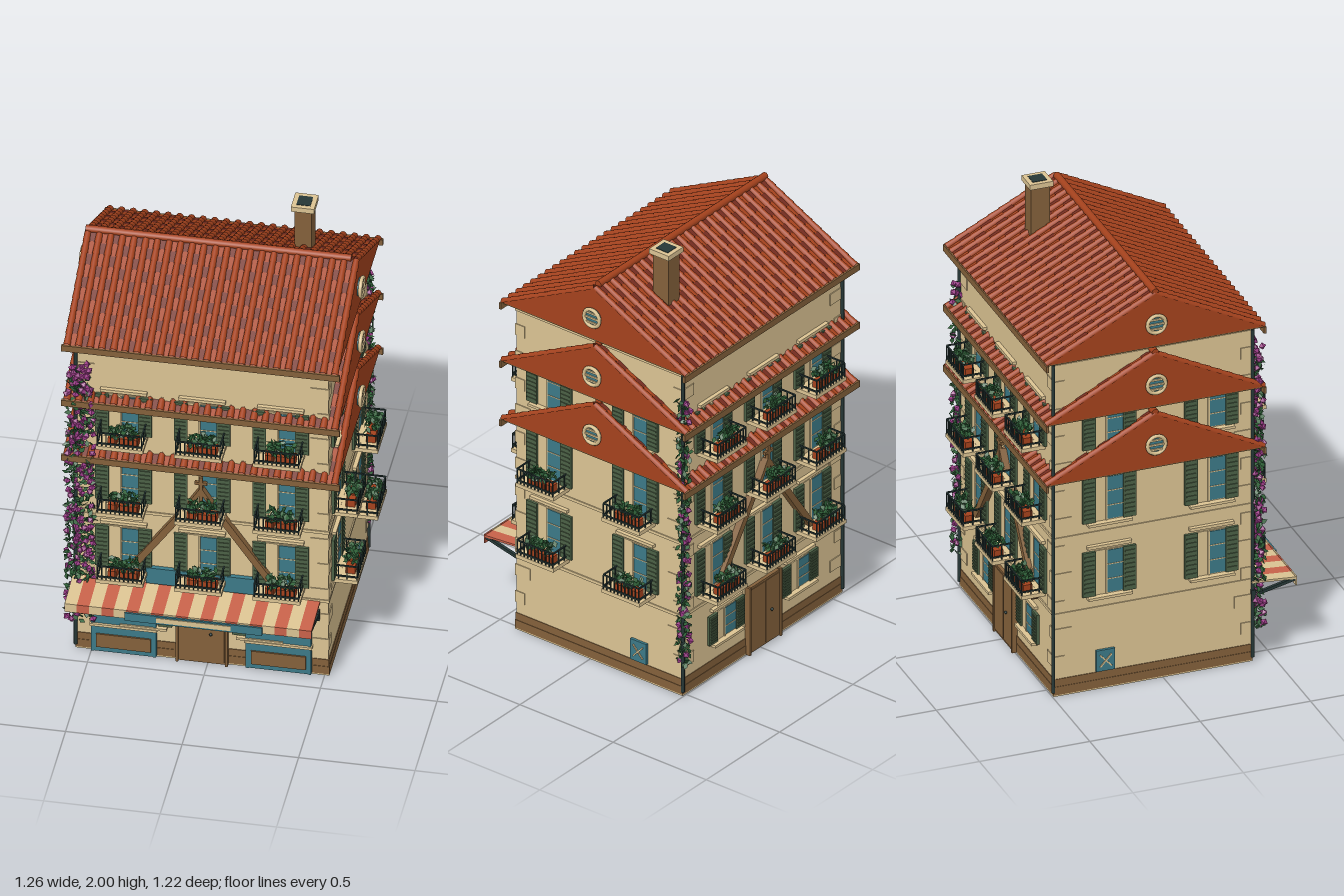
import * as THREE from 'three';
import { mergeGeometries } from 'three/addons/utils/BufferGeometryUtils.js';

const paint = (name, color, side = THREE.FrontSide) => {
  const m = new THREE.MeshStandardMaterial({ color, side });
  m.name = name;
  return m;
};
const M = {
  cream: paint('cream plaster', 0xdcc493),
  brown: paint('brown timber', 0x84613b),
  tile: paint('terracotta', 0xa5421d, THREE.DoubleSide),
  dark: paint('dark tile', 0x742c1f, THREE.DoubleSide),
  teal: paint('teal', 0x3c7a88),
  green: paint('shutter green', 0x4c6146),
  iron: paint('dark iron', 0x263736),
  leaf: paint('foliage', 0x31633a, THREE.DoubleSide),
  flower: paint('magenta blossom', 0x9c3c88),
  red: paint('awning red', 0xc8624a),
};

let seed = 7;
const rnd = () => (seed = (seed * 16807) % 2147483647) / 2147483647;
const span = (a, b) => a + (b - a) * rnd();

function add(parent, name, mat, geo, x = 0, y = 0, z = 0) {
  const m = new THREE.Mesh(geo, mat);
  m.name = name;
  m.position.set(x, y, z);
  parent.add(m);
  return m;
}
const box = (p, name, mat, w, h, d, x, y, z) => add(p, name, mat, new THREE.BoxGeometry(w, h, d), x, y, z);
function group(parent, name, x = 0, y = 0, z = 0) {
  const g = new THREE.Group();
  g.name = name;
  g.position.set(x, y, z);
  parent.add(g);
  return g;
}
// Bar in the facade plane between two points
function beam(p, name, mat, x1, y1, x2, y2, t, d, z) {
  const b = box(p, name, mat, Math.hypot(x2 - x1, y2 - y1), t, d, (x1 + x2) / 2, (y1 + y2) / 2, z);
  b.rotation.z = Math.atan2(y2 - y1, x2 - x1);
}
// Scatter of small leaves or blossoms inside a box-shaped range
function scatter(p, name, mat, n, base, [x1, x2], [y1, y2], [z1, z2]) {
  const parts = [];
  for (let i = 0; i < n; i++) {
    parts.push(base.clone().rotateX(span(-1.2, 1.2)).rotateY(span(0, 6.28)).rotateZ(span(0, 6.28))
      .translate(span(x1, x2), span(y1, y2), span(z1, z2)));
  }
  add(p, name, mat, mergeGeometries(parts));
}
const leafGeo = new THREE.CircleGeometry(0.018, 4).scale(0.6, 1, 1);
const bloomGeo = new THREE.OctahedronGeometry(0.017, 0);

// Window with half-drawn curtain, louvred shutters, sill and lintel
function windowUnit(face, x, y, h) {
  const g = group(face, 'window', x, y, 0);
  box(g, 'curtain', M.cream, 0.13, h, 0.008, 0, h / 2, 0.002);
  box(g, 'glass', M.teal, 0.075, h - 0.01, 0.008, 0.028, h / 2, 0.005);
  box(g, 'mullion', M.cream, 0.008, h, 0.012, -0.012, h / 2, 0.005);
  for (const k of [0.33, 0.66]) box(g, 'glazingBar', M.cream, 0.08, 0.004, 0.004, 0.028, h * k, 0.009);
  for (const s of [-1, 1]) {
    box(g, 'shutter', M.green, 0.058, h, 0.012, s * 0.092, h / 2, 0.008);
    for (let i = 0; i < 9; i++) box(g, 'louvre', M.green, 0.044, 0.006, 0.008, s * 0.092, h * (i + 1) / 10, 0.014);
  }
  box(g, 'sill', M.cream, 0.2, 0.012, 0.03, 0, -0.008, 0.014);
  box(g, 'lintel', M.cream, 0.2, 0.014, 0.02, 0, h + 0.022, 0.008);
}

// Balcony slab, iron rail, trough and plants
function balcony(face, x, y) {
  const g = group(face, 'balcony', x, y, 0);
  const w = 0.19, d = 0.106;
  box(g, 'slab', M.cream, w + 0.014, 0.018, d + 0.008, 0, -0.012, d / 2);
  for (const yy of [0.012, 0.066]) {
    box(g, 'frontRail', M.iron, w, 0.006, 0.006, 0, yy, d);
    for (const s of [-1, 1]) box(g, 'sideRail', M.iron, 0.006, 0.006, d, s * w / 2, yy, d / 2);
  }
  for (let i = 0; i <= 10; i++) box(g, 'baluster', M.iron, 0.0045, 0.07, 0.0045, w * (i / 10 - 0.5), 0.03, d);
  for (const s of [-1, 1]) for (const k of [0.25, 0.6]) box(g, 'baluster', M.iron, 0.0045, 0.07, 0.0045, s * w / 2, 0.03, d * k);
  for (const px of [-0.034, 0.012, 0.058]) box(g, 'flowerPot', M.tile, 0.038, 0.036, 0.04, px, 0.015, 0.07);
  scatter(g, 'plants', M.leaf, 75, leafGeo, [-0.045, 0.068], [0.046, 0.078], [0.04, 0.105]);
}

// Timber braces rising to a capped finial
function braces(face) {
  const g = group(face, 'braces');
  for (const s of [-1, 1]) {
    beam(g, 'brace', M.brown, s * 0.36, 0.38, s * 0.09, 0.77, 0.03, 0.03, 0.015);
    beam(g, 'capRafter', M.brown, s * 0.05, 0.84, 0, 0.92, 0.018, 0.04, 0.02);
  }
  box(g, 'finialPost', M.brown, 0.016, 0.13, 0.014, 0, 0.925, 0.035);
  box(g, 'finialBar', M.brown, 0.054, 0.014, 0.014, 0, 0.958, 0.035);
}

// Boarded door
function door(face) {
  const g = group(face, 'door');
  box(g, 'doorPanel', M.brown, 0.21, 0.32, 0.016, 0, 0.165, 0.01);
  for (const s of [-1, 1]) {
    box(g, 'doorLeaf', M.brown, 0.094, 0.3, 0.01, s * 0.05, 0.165, 0.016);
    box(g, 'doorFrame', M.brown, 0.012, 0.33, 0.026, s * 0.106, 0.165, 0.012);
  }
  add(g, 'doorKnob', M.iron, new THREE.SphereGeometry(0.007, 8, 6), 0.04, 0.16, 0.025);
}

// Glazed shop bay with slatted blinds and timber stall riser
function shopBay(face, x) {
  const g = group(face, 'shopBay', x);
  box(g, 'bay', M.teal, 0.28, 0.325, 0.022, 0, 0.17, 0.011);
  box(g, 'bayPanel', M.brown, 0.235, 0.068, 0.014, 0, 0.066, 0.022);
  box(g, 'bayLedge', M.cream, 0.29, 0.012, 0.033, 0, 0.148, 0.0165);
  for (const s of [-1, 1]) {
    box(g, 'bayPost', M.teal, 0.014, 0.325, 0.025, s * 0.133, 0.17, 0.0125);
    for (let i = 0; i < 6; i++) box(g, 'baySlat', M.brown, 0.06, 0.006, 0.006, s * 0.075, 0.2 + i * 0.02, 0.024);
  }
}

// Striped awning with fascia board and arms
function awning(face) {
  const g = group(face, 'awning');
  const n = 20, w = 1.06 / n;
  for (let i = 0; i < n; i++) {
    const mat = i % 2 ? M.red : M.cream, x = -0.555 + w * (i + 0.5);
    box(g, 'awningStripe', mat, w, 0.01, 0.2, x, 0.371, 0.1).rotation.x = 0.08;
    box(g, 'valance', mat, w, 0.042, 0.006, x, 0.35, 0.2);
  }
  for (const x of [-0.545, 0.495]) {
    box(g, 'awningArm', M.iron, 0.014, 0.014, 0.2, x, 0.335, 0.1).rotation.x = -0.22;
    box(g, 'armBracket', M.iron, 0.018, 0.05, 0.02, x, 0.315, 0.008);
  }
  box(g, 'fasciaBoard', M.teal, 0.59, 0.04, 0.008, 0, 0.345, 0.209);
  box(g, 'fasciaStrip', M.cream, 0.32, 0.024, 0.004, 0, 0.346, 0.214);
  box(g, 'shopBoard', M.teal, 0.48, 0.08, 0.02, 0, 0.43, 0.01);
}

// Gabled roof with barrel tiles, chequered pans, fascia and round gable vents
function makeRoof() {
  const g = new THREE.Group();
  g.name = 'roof';
  const L = 1.17, hw = 0.492, rise = 0.248, len = Math.hypot(hw, rise), tilt = -Math.atan2(hw, rise);
  const tri = new THREE.Shape([[-hw, 0], [hw, 0], [0, rise]].map(p => new THREE.Vector2(...p)));
  const core = new THREE.ExtrudeGeometry(tri, { depth: L, bevelEnabled: false }).translate(0, 0, -L / 2).rotateY(Math.PI / 2);
  add(g, 'gables', M.tile, core);
  box(g, 'soffit', M.brown, L - 0.004, 0.006, hw * 2 - 0.01, 0, -0.003, 0);
  const cols = 24, rows = 10, step = len / rows, pitch = 1.15 / (cols - 1);
  const covers = [], pans = [];
  for (let c = 0; c < cols; c++) for (let r = 0; r < rows; r++) {
    const k = (r + 0.5) / rows, x = -0.575 + pitch * c;
    covers.push(new THREE.CylinderGeometry(0.013, 0.016, step * 1.05, 6, 1, true, -Math.PI / 2, Math.PI)
      .rotateX(tilt).translate(x, rise * k, hw * (1 - k)));
    if ((c + r) % 2 && c < cols - 1) pans.push(new THREE.PlaneGeometry(pitch, step * 0.9)
      .translate(0, 0, 0.003).rotateX(tilt).translate(x + pitch / 2, rise * k, hw * (1 - k)));
  }
  const coverGeo = mergeGeometries(covers), panGeo = mergeGeometries(pans);
  for (const ry of [0, Math.PI]) {
    add(g, 'barrelTiles', M.tile, coverGeo).rotation.y = ry;
    add(g, 'darkPans', M.dark, panGeo).rotation.y = ry;
    box(g, 'eaveBoard', M.brown, 1.195, 0.03, 0.012, 0, -0.014, (ry ? -1 : 1) * 0.493);
  }
  add(g, 'ridgeTiles', M.tile, new THREE.CylinderGeometry(0.016, 0.016, 1.14, 10).rotateZ(Math.PI / 2), -0.015, rise + 0.008, 0);
  for (const s of [-1, 1]) {
    const v = group(g, 'gableVent', s * (L / 2), 0.11, 0);
    v.rotation.y = s * Math.PI / 2;
    add(v, 'ventRing', M.cream, new THREE.TorusGeometry(0.041, 0.009, 6, 20), 0, 0, 0.014);
    add(v, 'ventDisc', M.teal, new THREE.CylinderGeometry(0.04, 0.04, 0.012, 20).rotateX(Math.PI / 2), 0, 0, 0.006);
    for (const y of [-0.022, 0, 0.022]) box(v, 'ventSlat', M.cream, 0.066, 0.008, 0.008, 0, y, 0.014);
  }
  return g;
}

export function createModel() {
  const house = new THREE.Group();
  house.name = 'townHouse';
  const cx = -0.025, cz = -0.045, W = 1.08, D = 0.89;

  // Walls, plinth and string courses
  box(house, 'walls', M.cream, W, 1.59, D, cx, 0.8, cz);
  box(house, 'groundSlab', M.cream, W + 0.01, 0.006, D + 0.01, cx, 0.003, cz);
  box(house, 'plinthLower', M.brown, W + 0.01, 0.039, D + 0.01, cx, 0.0255, cz);
  box(house, 'plinthUpper', M.brown, W + 0.006, 0.035, D + 0.006, cx, 0.0625, cz);
  for (const y of [0.385, 0.745, 1.57]) box(house, 'stringCourse', M.cream, W + 0.01, 0.014, D + 0.01, cx, y, cz);

  // Corner quoins
  for (const sx of [-1, 1]) for (const sz of [-1, 1]) for (let i = 0; i < 11; i++) {
    const a = i % 2 ? 0.05 : 0.08, b = i % 2 ? 0.08 : 0.05;
    box(house, 'quoin', M.cream, a, 0.055, b, cx + sx * (W / 2 + 0.004 - a / 2), 0.16 + i * 0.131, cz + sz * (D / 2 + 0.004 - b / 2));
  }

  // Front and back facades
  const floors = [[0.45, 0.21], [0.8, 0.21], [1.15, 0.2]];
  for (const front of [true, false]) {
    const f = group(house, front ? 'frontFacade' : 'backFacade', cx, 0, cz + (front ? D / 2 : -D / 2));
    f.rotation.y = front ? 0 : Math.PI;
    for (const x of [-0.337, 0, 0.337]) for (const [y, h] of floors) {
      windowUnit(f, x, y, h);
      balcony(f, x, y);
    }
    for (const s of [-1, 1]) windowUnit(f, s * 0.25, 0.165, 0.14);
    braces(f);
    door(f);
    if (front) {
      shopBay(f, -0.335);
      shopBay(f, 0.33);
      awning(f);
    }
  }

  // Side facades, balconies only on the left
  for (const s of [1, -1]) {
    const f = group(house, s > 0 ? 'leftFacade' : 'rightFacade', cx + s * W / 2, 0, cz);
    f.rotation.y = s * Math.PI / 2;
    for (const x of [-0.263 * s, 0.2 * s]) floors.forEach(([y, h], i) => {
      windowUnit(f, x, y, h);
      if (s > 0 && i < 2) balcony(f, x, y);
    });
    const hatch = group(f, 'cellarHatch', 0.217 * s, 0.135, 0);
    box(hatch, 'hatchPanel', M.teal, 0.085, 0.1, 0.012, 0, 0, 0.006);
    for (const k of [-1, 1]) beam(hatch, 'hatchCross', M.cream, -0.026, -0.028 * k, 0.026, 0.028 * k, 0.006, 0.006, 0.014);
  }

  // Three stacked roofs
  const roof = makeRoof();
  for (let i = 0; i < 3; i++) {
    const r = i ? roof.clone() : roof;
    r.position.set(cx, 1.607 - 0.287 * i, cz - 0.005);
    house.add(r);
  }

  // Chimney
  const ch = group(house, 'chimney', 0.295, 0, -0.23);
  box(ch, 'stack', M.brown, 0.074, 0.33, 0.085, 0, 1.815, 0);
  box(ch, 'cap', M.cream, 0.1, 0.024, 0.105, 0, 1.986, 0);
  box(ch, 'flue', M.iron, 0.06, 0.004, 0.065, 0, 1.998, 0);

  // Drainpipes on the back corners and behind the front vine
  for (const [sx, sz] of [[-1, -1], [1, -1], [-1, 1]]) {
    add(house, 'drainpipe', M.iron, new THREE.CylinderGeometry(0.008, 0.008, 1.56, 8), cx + sx * (W / 2 + 0.004), 0.8, cz + sz * (D / 2 + 0.006));
  }

  // Climbing vines on two opposite corners
  const vines = [[[-0.605, -0.485], [0.415, 0.45], 520, 190], [[0.505, 0.535], [-0.53, -0.47], 380, 50]];
  for (const [xs, zs, n, b] of vines) {
    const v = group(house, 'vine');
    scatter(v, 'vineLeaves', M.leaf, n, leafGeo, xs, [0.16, 1.45], zs);
    scatter(v, 'vineBlossom', M.flower, b, bloomGeo, xs, [0.16, 1.52], zs);
  }
  return house;
}
